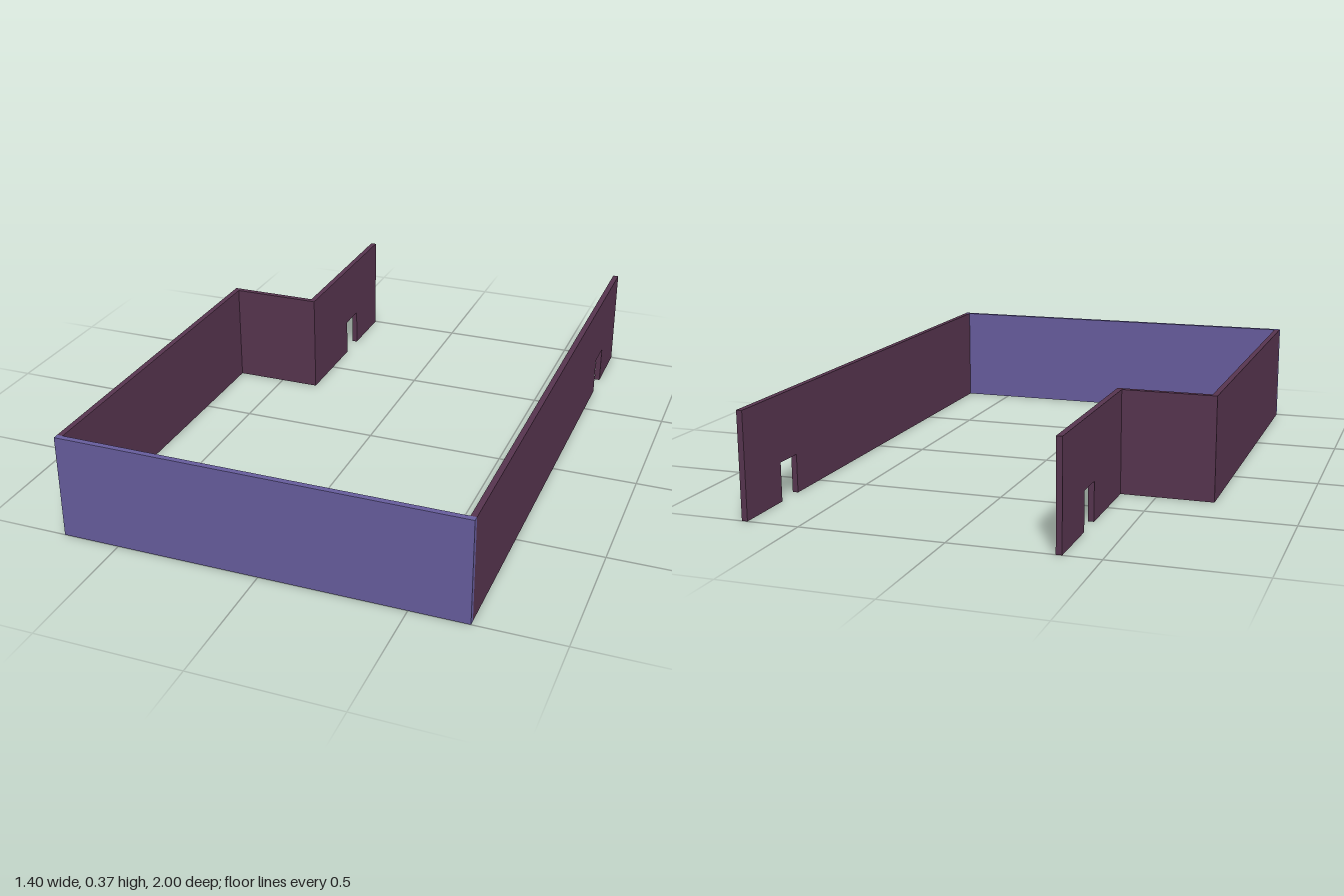
import * as THREE from 'three';

const HEIGHT = 0.365;
const THICK = 0.02;

export function createModel() {
  const model = new THREE.Group();
  model.name = 'wallFrame';
  const blue = new THREE.MeshStandardMaterial({ color: 0x665c9c });
  const plum = new THREE.MeshStandardMaterial({ color: 0x56344e });

  function add(name, geometry, material) {
    const mesh = new THREE.Mesh(geometry, material);
    mesh.name = name;
    model.add(mesh);
  }

  // Plain upright panel between two plan corners
  function panel(name, x0, x1, z0, z1, material) {
    const geometry = new THREE.BoxGeometry(x1 - x0, HEIGHT, z1 - z0);
    geometry.translate((x0 + x1) / 2, HEIGHT / 2, (z0 + z1) / 2);
    add(name, geometry, material);
  }

  // Side wall along z with a notch in its lower edge; x is its +x face
  function notchedWall(name, x, z0, z1) {
    const outline = [
      [z0, 0], [-0.77, 0], [-0.77, 0.135], [-0.66, 0.135],
      [-0.66, 0], [z1, 0], [z1, HEIGHT], [z0, HEIGHT],
    ].map(([z, y]) => new THREE.Vector2(z, y));
    const geometry = new THREE.ExtrudeGeometry(new THREE.Shape(outline), {
      depth: THICK,
      bevelEnabled: false,
    });
    geometry.rotateY(-Math.PI / 2).translate(x, 0, 0);
    add(name, geometry, plum);
  }

  panel('frontWall', -0.7, 0.7, 1 - THICK, 1, blue);
  notchedWall('leftWall', 0.7, -1, 1 - THICK);

  // Right side steps inward towards the back
  panel('rightWall', -0.7, -0.7 + THICK, -0.335, 1 - THICK, plum);
  panel('stepWall', -0.7 + THICK, -0.355, -0.335, -0.335 + THICK, plum);
  notchedWall('rightRearWall', -0.355, -1, -0.335);

  return model;
}
